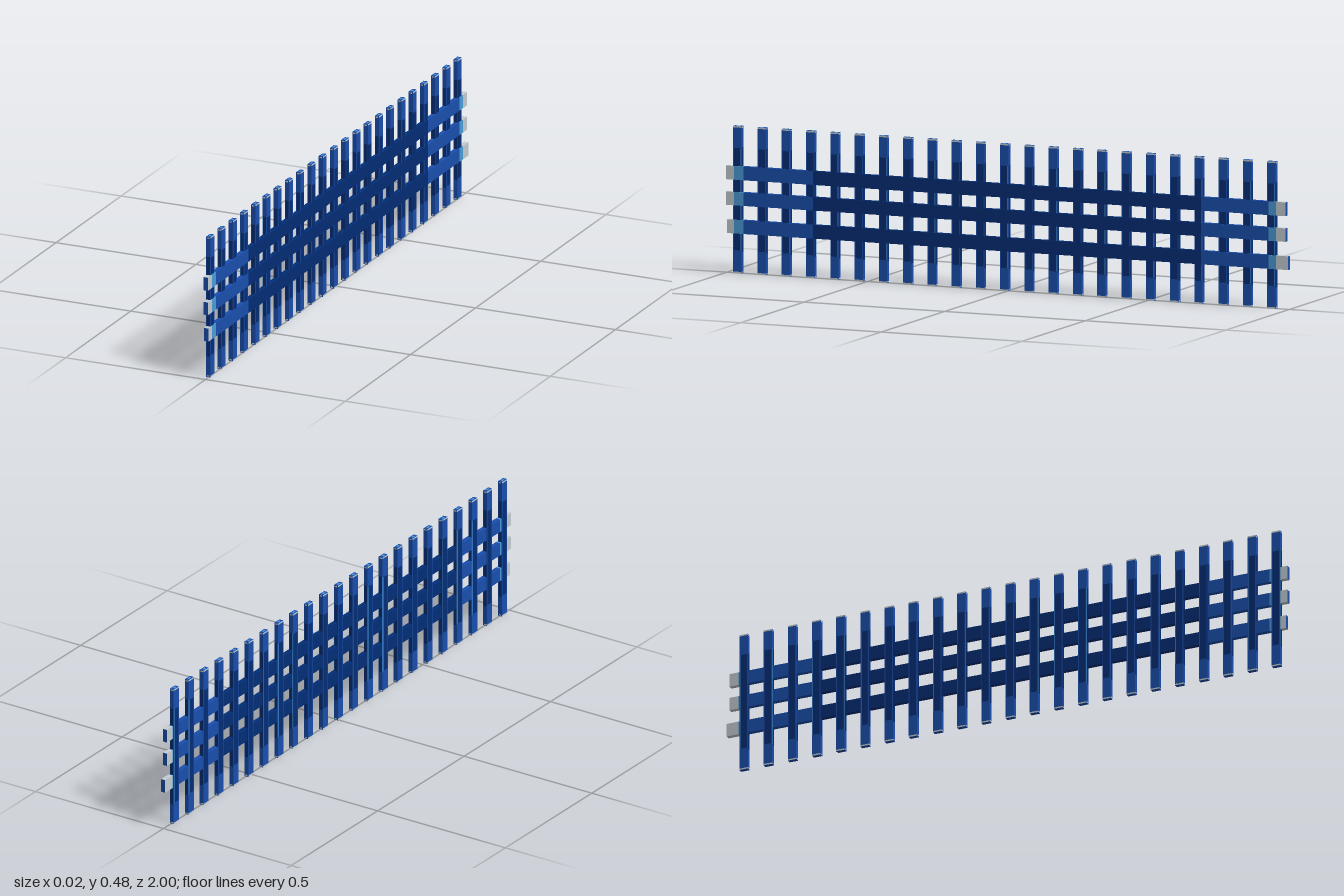
import * as THREE from 'three';

const paint = (name, color) => {
  const m = new THREE.MeshStandardMaterial({ color });
  m.name = name;
  return m;
};

export function createModel() {
  const dark = paint('dark blue', 0x022d76);
  const mid = paint('mid blue', 0x1a4eae);
  const pale = paint('pale blue', 0x4a9cd8);
  const grey = paint('bare grey', 0xc4cdd2);

  const fence = new THREE.Group();
  fence.name = 'fence';

  // Box given by its lower and upper corners
  const block = (parent, name, material, [x0, y0, z0], [x1, y1, z1]) => {
    const mesh = new THREE.Mesh(new THREE.BoxGeometry(x1 - x0, y1 - y0, z1 - z0), material);
    mesh.position.set((x0 + x1) / 2, (y0 + y1) / 2, (z0 + z1) / 2);
    mesh.name = name;
    parent.add(mesh);
  };

  // Upright pickets: mid blue with worn rims on the broad faces
  const rim = [grey, grey, mid, mid, mid, mid];
  const picketBands = [[0, 0.005, rim], [0.005, 0.477, mid], [0.477, 0.482, rim]];
  for (let i = 0; i < 23; i++) {
    const picket = new THREE.Group();
    picket.name = `picket${i + 1}`;
    const z = 0.96 - i * 0.0863;
    for (const [y0, y1, material] of picketBands) {
      block(picket, 'picketBand', material, [-0.009, y0, z - 0.015], [0.006, y1, z + 0.015]);
    }
    // Dark strips down the middle of each side, leaving lighter edges
    block(picket, 'sideStrip', dark, [-0.0075, 0.07, z - 0.0154], [0.0045, 0.413, z + 0.0154]);
    block(picket, 'faceStrip', dark, [-0.0094, 0.075, z - 0.0115], [0.0064, 0.41, z + 0.0115]);
    // Pale worn seam beside the strips
    block(picket, 'sideSeam', pale, [-0.0079, 0.07, z - 0.0153], [-0.0071, 0.413, z + 0.0153]);
    block(picket, 'faceSeam', pale, [-0.0093, 0.075, z - 0.0122], [0.0063, 0.41, z - 0.0112]);
    // Chipped paint at both ends of the narrow sides, and on the top
    for (const y of [0.002, 0.476]) {
      block(picket, 'chip', grey, [-0.006, y, z - 0.0154], [0.003, y + 0.004, z + 0.0154]);
    }
    block(picket, 'topChip', pale, [-0.005, 0.481, z - 0.006], [0.002, 0.4824, z + 0.006]);
    fence.add(picket);
  }

  // Horizontal rails: bottom and top heights, back and front ends
  const rails = [
    ['topRail', 0.306, 0.351, -0.99, 1],
    ['middleRail', 0.222, 0.266, -0.99, 1],
    ['bottomRail', 0.13, 0.175, -1, 0.996],
  ];
  // Bare tips keep a blue end face
  const tip = [grey, grey, grey, grey, mid, mid];
  for (const [name, y0, y1, back, front] of rails) {
    const rail = new THREE.Group();
    rail.name = name;
    const cuts = [back, -0.957, -0.93, -0.69, 0.69, 0.937, 0.97, front];
    const materials = [tip, pale, mid, dark, mid, pale, tip];
    materials.forEach((material, i) => {
      block(rail, 'railSection', material, [-0.007, y0, cuts[i]], [0.009, y1, cuts[i + 1]]);
    });
    fence.add(rail);
  }
  return fence;
}
